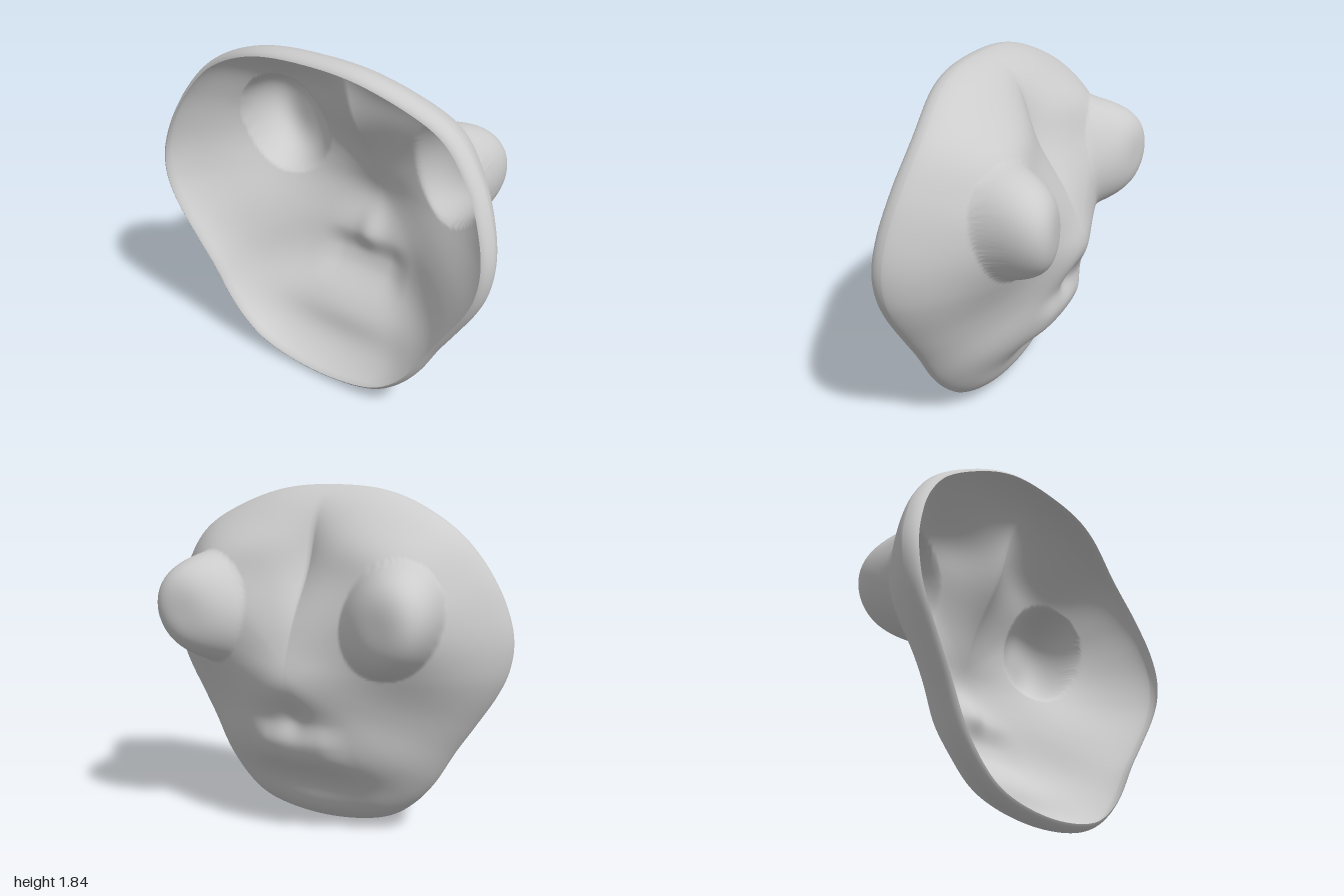
import * as THREE from 'three';

const RINGS = 110, SEGS = 220, LIP = 8, CENTRE_Y = 0.95;

// Half outline of the mask as [z, y], top to bottom
const HALF = [[0, 1.845], [0.3, 1.82], [0.55, 1.73], [0.75, 1.6], [0.9, 1.4], [0.98, 1.2], [1, 1.06],
  [0.98, 0.92], [0.93, 0.8], [0.82, 0.62], [0.73, 0.48], [0.62, 0.29], [0.52, 0.17], [0.4, 0.08], [0.25, 0.03], [0, 0.005]];

// Depth of the open back edge, at even steps of height from y = 0 to 1.85
const EDGE = new THREE.SplineCurve([-0.322, -0.328, -0.335, -0.352, -0.366, -0.37, -0.35, -0.315, -0.296, -0.365]
  .map((x, i) => new THREE.Vector2(x, i)));
const edgeX = (y) => EDGE.getPoint(THREE.MathUtils.clamp(y / 1.85, 0, 1)).x;

const bump = (d, w) => Math.exp(-(d * d) / (w * w));
const smoothMax = (a, b, k) => {
  const h = Math.max(k - Math.abs(a - b), 0) / k;
  return Math.max(a, b) + h * h * k * 0.25;
};
const box = (d, half, soft) => 1 - THREE.MathUtils.smoothstep(Math.abs(d), half - soft, half + soft);

// Bulging eye: a tilted, blunt dome, higher on its outer side
function eye(a, y) {
  const dz = a - 0.51, dy = y - 1.21, c = Math.cos(0.25), s = Math.sin(0.25);
  const q = Math.hypot((dz * c - dy * s) / 0.24, (dz * s + dy * c) / 0.295);
  if (q >= 1) return -1;
  return -0.1 + (0.45 + 0.22 * dz) * Math.pow(1 - Math.pow(q, 3.2), 0.38);
}

// Point on the face; t runs from 0 at the centre to 1 at the outline
function facePoint(z, y, t, rimX) {
  const a = Math.abs(z), inside = 1 - Math.pow(t, 6);
  let d = -0.13 * Math.exp(-a / 0.18) * bump(y - 1.47, 0.3);       // forehead crease
  d += 0.05 * bump(a - 0.42, 0.3) * bump(y - 1.55, 0.14);          // brows
  d += 0.035 * bump(a, 0.22) * bump(y - 0.88, 0.13);               // nose
  d -= 0.045 * bump(a - 0.62, 0.3) * bump(y - 0.68, 0.28);         // cheeks
  d -= 0.09 * bump(a, 0.5) * bump(y - 0.26, 0.14);                 // chin
  d -= 0.028 * bump(a, 0.25) * bump(y - 0.66, 0.1);                // under the nose
  d -= 0.025 * bump(a, 0.07) * bump(y - 0.68, 0.1);                // central notch
  d += 0.022 * box(a, 0.23, 0.08) * box(y - 0.5, 0.1, 0.07);       // muzzle
  d += 0.11 * bump(a - 0.62, 0.25) * bump(y - 1.24, 0.28);         // swelling round the eye
  const q = THREE.MathUtils.lerp(0.71, 0.62, THREE.MathUtils.smoothstep(y, 1.3, 1.8));
  const base = THREE.MathUtils.lerp(-0.3, rimX, t * t)
    + 0.54 * Math.pow(Math.max(1 - t * t, 0), q) + d * inside;
  const x = smoothMax(base, eye(a, y), 0.14);
  return [x, y, z + Math.sign(z) * 0.2 * (x - base)];              // eyes lean outwards
}

export function createModel() {
  const pts = [...HALF, ...HALF.slice(1, -1).reverse().map(([z, y]) => [-z, y])];
  const outline = new THREE.CatmullRomCurve3(pts.map(([z, y]) => new THREE.Vector3(0, y, z)), true)
    .getSpacedPoints(SEGS).slice(0, SEGS);

  const pos = [], index = [];
  // Front shell, rings packed closer towards the outline
  for (let i = 0; i <= RINGS; i++) {
    const t = Math.sin((i / RINGS) * Math.PI / 2);
    for (const p of outline) {
      pos.push(...facePoint(p.z * t, CENTRE_Y + (p.y - CENTRE_Y) * t, t, edgeX(p.y) + 0.07));
    }
  }
  // Lip rolling in to the open back edge
  for (let i = 1; i <= LIP; i++) {
    const a = (i / LIP) * Math.PI * 0.42;
    const s = 1 - 0.045 * (1 - Math.cos(a));
    for (const p of outline) {
      pos.push(edgeX(p.y) + 0.07 * (1 - Math.sin(a) / Math.sin(Math.PI * 0.42)),
        CENTRE_Y + (p.y - CENTRE_Y) * s, p.z * s);
    }
  }
  for (let i = 0; i < RINGS + LIP; i++) {
    for (let j = 0; j < SEGS; j++) {
      const k = (j + 1) % SEGS, a = i * SEGS, b = a + SEGS;
      if (i > 0) index.push(a + j, b + k, a + k);
      index.push(a + j, b + j, b + k);
    }
  }

  const geometry = new THREE.BufferGeometry();
  geometry.setAttribute('position', new THREE.Float32BufferAttribute(pos, 3));
  geometry.setIndex(index);
  geometry.computeVertexNormals();

  const mask = new THREE.Mesh(geometry,
    new THREE.MeshStandardMaterial({ color: 0xcccccc, side: THREE.DoubleSide }));
  mask.name = 'maskShell';
  const group = new THREE.Group();
  group.name = 'mask';
  group.add(mask);
  return group;
}
